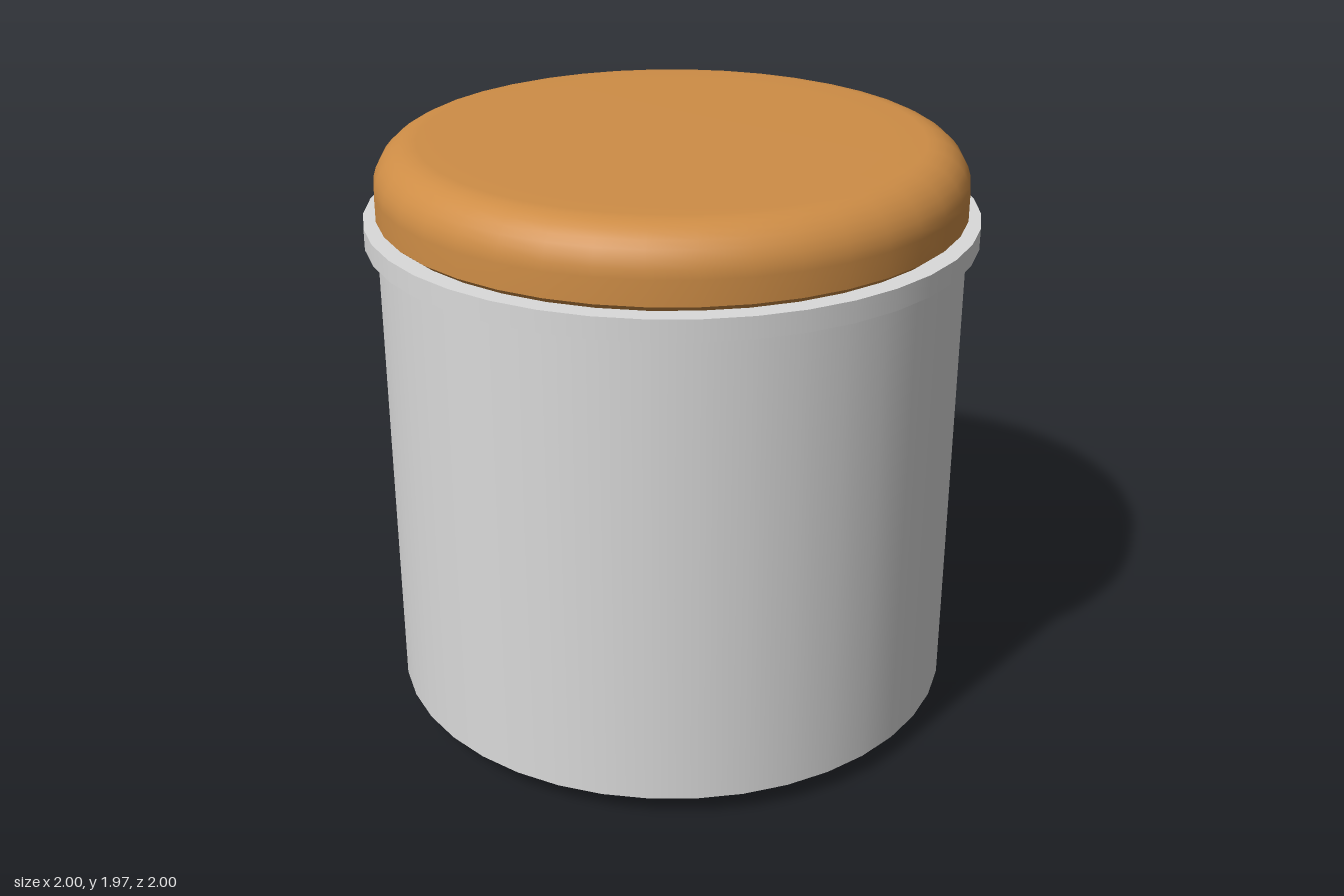
import * as THREE from 'three';

const SIDES = 40;

// Solid of revolution; each profile run is smooth, with hard edges between runs
function turned(name, runs, material) {
  const group = new THREE.Group();
  group.name = name;
  for (const [part, points] of Object.entries(runs)) {
    const profile = points.map(([r, y]) => new THREE.Vector2(r, y));
    const mesh = new THREE.Mesh(new THREE.LatheGeometry(profile, SIDES), material);
    mesh.name = part;
    group.add(mesh);
  }
  return group;
}

export function createModel() {
  const metal = new THREE.MeshStandardMaterial({ color: 0xdadada });
  metal.name = 'pale grey metal';
  const wood = new THREE.MeshStandardMaterial({ color: 0xce8d46 });
  wood.name = 'warm wood';

  const model = new THREE.Group();
  model.name = 'canister';

  // Straight-sided body with a bevelled foot
  model.add(turned('body', {
    base: [[0, 0], [0.8, 0], [0.84, 0.004], [0.96, 0.075]],
    wall: [[0.96, 0.075], [0.96, 1.655]],
  }, metal));

  // Projecting collar under the lid
  model.add(turned('rim', {
    rimUnderside: [[0.96, 1.655], [1, 1.655]],
    rimEdge: [[1, 1.655], [1, 1.725]],
    rimTop: [[1, 1.725], [0, 1.725]],
  }, metal));

  // Lid: small lower bevel, then a rounded shoulder up to a flat top
  const shoulder = [[0.96, 1.745]];
  const steps = 8;
  for (let i = 0; i <= steps; i++) {
    const a = (i / steps) * Math.PI / 2;
    shoulder.push([0.815 + 0.145 * Math.cos(a), 1.825 + 0.143 * Math.sin(a)]);
  }
  shoulder.push([0.7, 1.97], [0, 1.97]);
  model.add(turned('lid', {
    lidBevel: [[0.935, 1.725], [0.96, 1.745]],
    lidDome: shoulder,
  }, wood));

  return model;
}
